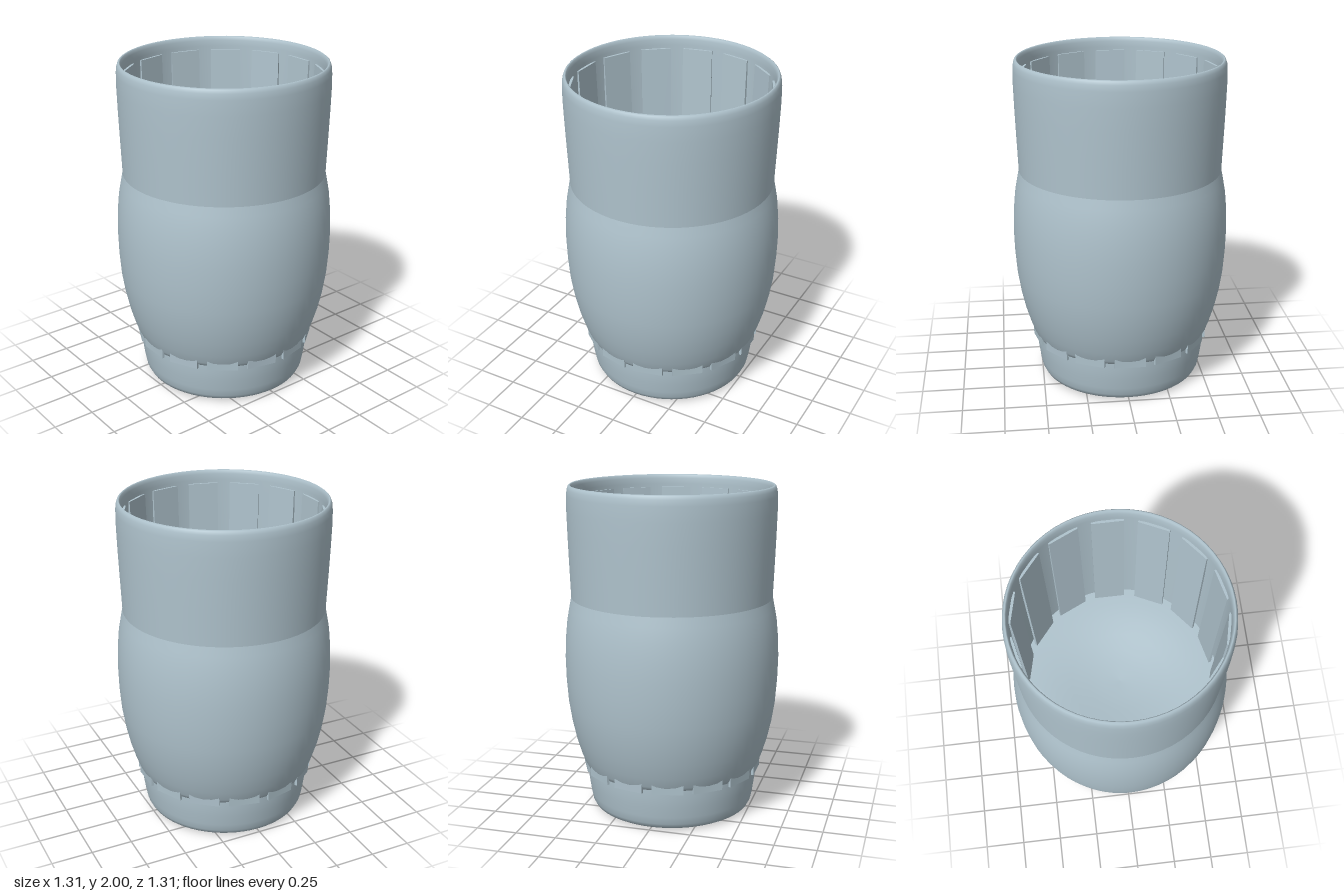
import * as THREE from 'three';

const SEGMENTS = 64;

export function createModel() {
  const model = new THREE.Group();
  model.name = 'slattedCup';
  const paleBlue = new THREE.MeshStandardMaterial({ color: 0xb0c4ce });
  paleBlue.name = 'paleBlue';

  // Turned part: profile of [radius, height], outside running upward
  const turn = (name, profile) => {
    const points = profile.map(([r, y]) => new THREE.Vector2(r, y));
    const mesh = new THREE.Mesh(new THREE.LatheGeometry(points, SEGMENTS), paleBlue);
    mesh.name = name;
    model.add(mesh);
  };

  // Narrow foot with a rounded lower edge
  turn('foot', [
    [0, 0.008], [0.3, 0.004], [0.43, 0], [0.465, 0.005], [0.488, 0.018], [0.502, 0.045],
    [0.511, 0.09], [0.521, 0.16], [0.528, 0.22], [0.53, 0.28],
  ]);

  // Bulging body
  turn('body', [
    [0.52, 0.27], [0.535, 0.272], [0.547, 0.295], [0.57, 0.355], [0.598, 0.45], [0.622, 0.56],
    [0.64, 0.68], [0.65, 0.82], [0.653, 0.96], [0.648, 1.08], [0.637, 1.19], [0.622, 1.27], [0.61, 1.33],
  ]);

  // Upper sleeve, rounded rim and inner wall
  turn('sleeve', [
    [0.61, 1.33], [0.613, 1.42], [0.618, 1.56], [0.623, 1.72], [0.626, 1.85], [0.625, 1.94],
    [0.621, 1.975], [0.614, 1.994], [0.606, 2], [0.599, 1.994], [0.594, 1.975], [0.592, 1.94],
    [0.592, 1.6], [0.594, 1.3], [0.597, 0.98],
  ]);

  // Inner floor with a shallow dip
  turn('innerFloor', [
    [0.6, 1.0], [0.5, 0.998], [0.4, 0.988], [0.3, 0.972], [0.2, 0.955], [0.1, 0.944], [0, 0.94],
  ]);

  // Ring of slats, leaning outward toward the top
  const slatGeometry = new THREE.BoxGeometry(0.015, 1.67, 0.185);
  const slatCount = 14;
  for (let i = 0; i < slatCount; i++) {
    const holder = new THREE.Group();
    holder.name = 'slat';
    holder.rotation.y = (i / slatCount) * Math.PI * 2;
    const slat = new THREE.Mesh(slatGeometry, paleBlue);
    slat.name = 'slatBoard';
    slat.position.set(0.559, 1.085, 0);
    slat.rotation.z = -0.028;
    holder.add(slat);
    model.add(holder);
  }

  return model;
}
